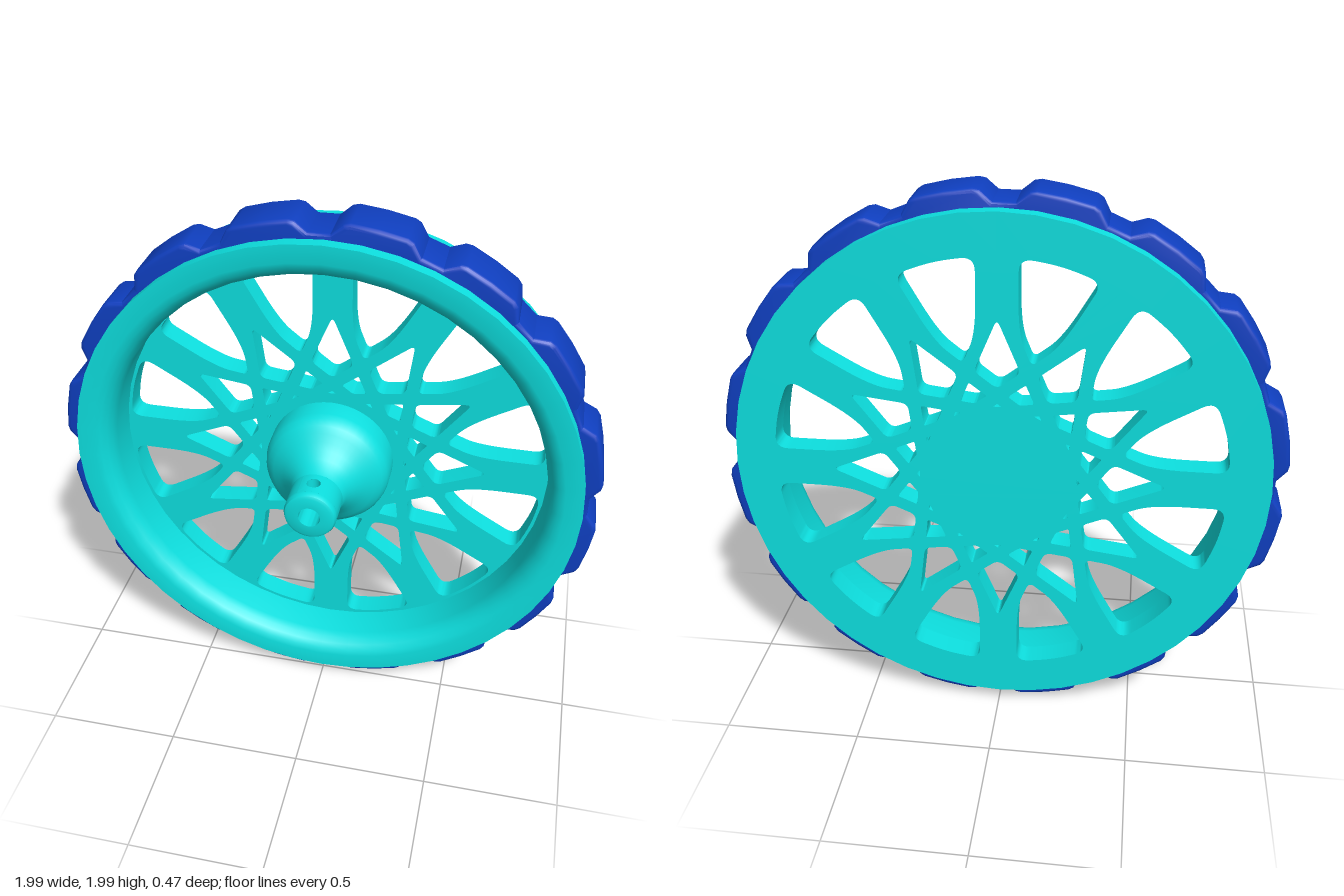
import * as THREE from 'three';
import { toCreasedNormals } from 'three/addons/utils/BufferGeometryUtils.js';

const { sin, cos, PI } = Math;
const rad = THREE.MathUtils.degToRad;
const cyan = new THREE.MeshStandardMaterial({ color: 0x0de0e0 });
const cyanInside = new THREE.MeshStandardMaterial({ color: 0x0de0e0, side: THREE.BackSide });
const blue = new THREE.MeshStandardMaterial({ color: 0x0f3fc0 });

const v2 = (x, y) => new THREE.Vector2(x, y);
const polar = (r, a) => v2(r * cos(a), r * sin(a));

function add(parent, name, geometry, material) {
  const mesh = new THREE.Mesh(geometry, material);
  mesh.name = name;
  parent.add(mesh);
  return mesh;
}

// Lathe around the z axis; profile points are [radius, z]
function turned(profile, phiStart = 0, phiLength = 2 * PI) {
  const g = new THREE.LatheGeometry(profile.map(([r, z]) => v2(r, z)), 48, phiStart, phiLength);
  return toCreasedNormals(g.rotateX(PI / 2), 0.6);
}

// Closed path with rounded corners; corners are [x, y, rounding length], turned by angle
function roundedPath(corners, angle) {
  const pts = corners.map(([x, y]) => v2(x, y).rotateAround(v2(0, 0), angle));
  const n = pts.length;
  const path = new THREE.Path();
  pts.forEach((p, i) => {
    const cut = (q) => {
      const len = p.distanceTo(q);
      return p.clone().lerp(q, Math.min(corners[i][2] / len, 0.45));
    };
    const a = cut(pts[(i + n - 1) % n]), b = cut(pts[(i + 1) % n]);
    if (i) path.lineTo(a.x, a.y); else path.moveTo(a.x, a.y);
    path.quadraticCurveTo(p.x, p.y, b.x, b.y);
  });
  path.closePath();
  return path;
}

// Spoke lattice: straight strands tangent to a circle, crossing each other
const D = 0.25, W = 0.022;          // strand distance from the axle, half width
const SPOKE = 0.07, RIM_IN = 0.81;  // outer spoke half width, inner rim radius

// Kite-shaped opening between two pairs of crossing strands
function kite(deg1, deg2, rounding) {
  const b1 = rad(deg1), b2 = rad(deg2), det = sin(b1 + b2);
  const x = ((D - W) * cos(b2) - (D + W) * cos(b1)) / det;
  const y = ((D + W) * sin(b1) + (D - W) * sin(b2)) / det;
  return [
    [0, (D - W) / cos(b1), rounding], [-x, y, rounding],
    [0, (D + W) / cos(b2), rounding], [x, y, rounding],
  ];
}

// Large opening between two neighbouring outer spokes
function window_() {
  const a = rad(15);
  const edge = (s) => [s * sin(a) - SPOKE * cos(a), s * cos(a) + SPOKE * sin(a)];
  const side = [[...edge(0.54), 0.16], [...edge(0.795), 0.05]];
  const mirrored = side.map(([x, y, r]) => [-x, y, r]).reverse();
  return [[0, (D + W) / cos(rad(52.2)), 0.025], ...side, [0, 0.8, 0.06], ...mirrored];
}

function spokePlate() {
  const shape = new THREE.Shape(
    Array.from({ length: 96 }, (_, i) => polar(RIM_IN + 0.003, (i / 96) * 2 * PI)));
  for (let i = 0; i < 12; i++) {
    const onSpoke = rad(30 * i), between = rad(30 * i + 15);
    shape.holes.push(
      roundedPath(kite(67.2, 37.2, 0.025), onSpoke),
      roundedPath(kite(37.2, 7.2, 0.002), onSpoke),
      roundedPath(kite(52.2, 22.2, 0.008), between),
      roundedPath(window_(), between),
    );
  }
  const g = new THREE.ExtrudeGeometry(shape, { depth: 0.085, bevelEnabled: false, curveSegments: 8 });
  return toCreasedNormals(g.translate(0, 0, -0.235), 0.5);
}

// Tyre with sixteen raised lugs and softened edges
function tyre() {
  const bevel = 0.015, pts = [];
  const lug = [[-2.6, 0.957], [2.6, 0.957], [5, 0.995], [6, 1], [11.25, 1], [16.5, 1], [17.5, 0.995]];
  for (let i = 0; i < 16; i++)
    for (const [deg, r] of lug) pts.push(polar(r - bevel, rad(1 + deg + i * 22.5)));
  const shape = new THREE.Shape(pts);
  shape.holes.push(new THREE.Path().absarc(0, 0, 0.9, 0, 2 * PI, true));
  const g = new THREE.ExtrudeGeometry(shape, {
    depth: 0.155, bevelSize: bevel, bevelThickness: bevel, bevelSegments: 3, curveSegments: 32,
  });
  return toCreasedNormals(g.translate(0, 0, -0.17), 0.6);
}

// Patch of the shaft wall pierced by a round hole, bent around the shaft
function piercedPatch(R, hole, half, z) {
  const g = new THREE.RingGeometry(hole, half, 32, 4);
  const p = g.attributes.position;
  for (let i = 0; i < p.count; i++) {
    const x = p.getX(i), y = p.getY(i), r = Math.hypot(x, y);
    const t = (r - hole) / (half - hole);
    const square = half / Math.max(Math.abs(x / r), Math.abs(y / r));
    const k = (hole * (1 - t) + square * t) / r;
    const a = (x * k) / R;
    p.setXYZ(i, R * sin(a), R * cos(a), z - y * k);
  }
  g.computeVertexNormals();
  return g;
}

export function createModel() {
  const model = new THREE.Group();
  model.name = 'wheel';
  const wheel = new THREE.Group();
  wheel.name = 'wheelAssembly';
  wheel.position.y = 1;
  model.add(wheel);

  add(wheel, 'tyre', tyre(), blue);

  // Rim with a rounded inner lip
  add(wheel, 'rim', turned([
    [RIM_IN, -0.235], [0.94, -0.235], [0.94, 0.045], [0.875, 0.045], [0.852, 0.038],
    [0.832, 0.022], [0.818, 0], [RIM_IN, -0.03], [RIM_IN, -0.235],
  ]), cyan);

  add(wheel, 'spokePlate', spokePlate(), cyan);

  // Hub: domed base sweeping into a hollow shaft with a pin hole on top
  const hub = new THREE.Group();
  hub.name = 'hub';
  wheel.add(hub);
  const R = 0.095, hole = 0.025, half = 0.05, pinZ = 0.16, gap = half / R;
  add(hub, 'hubBase', turned([
    [0.235, -0.16], [0.235, -0.075], [0.229, -0.05], [0.215, -0.026], [0.192, -0.008],
    [0.168, 0.008], [0.145, 0.028], [0.122, 0.053], [0.104, 0.08], [R, pinZ - half],
  ]), cyan);
  add(hub, 'shaftWall', turned([[R, pinZ - half], [R, pinZ + half]], PI + gap, 2 * PI - 2 * gap), cyan);
  add(hub, 'pinHoleSurround', piercedPatch(R, hole, half, pinZ), cyan);
  add(hub, 'shaftEnd', turned([
    [R, pinZ + half], [R, 0.222], [0.09, 0.233], [0.08, 0.238], [0.04, 0.238], [0.04, 0], [0, 0],
  ]), cyan);
  const pin = add(hub, 'pinHole', new THREE.CylinderGeometry(hole, hole, 0.06, 32, 1, true), cyanInside);
  pin.position.set(0, 0.063, pinZ);

  return model;
}
